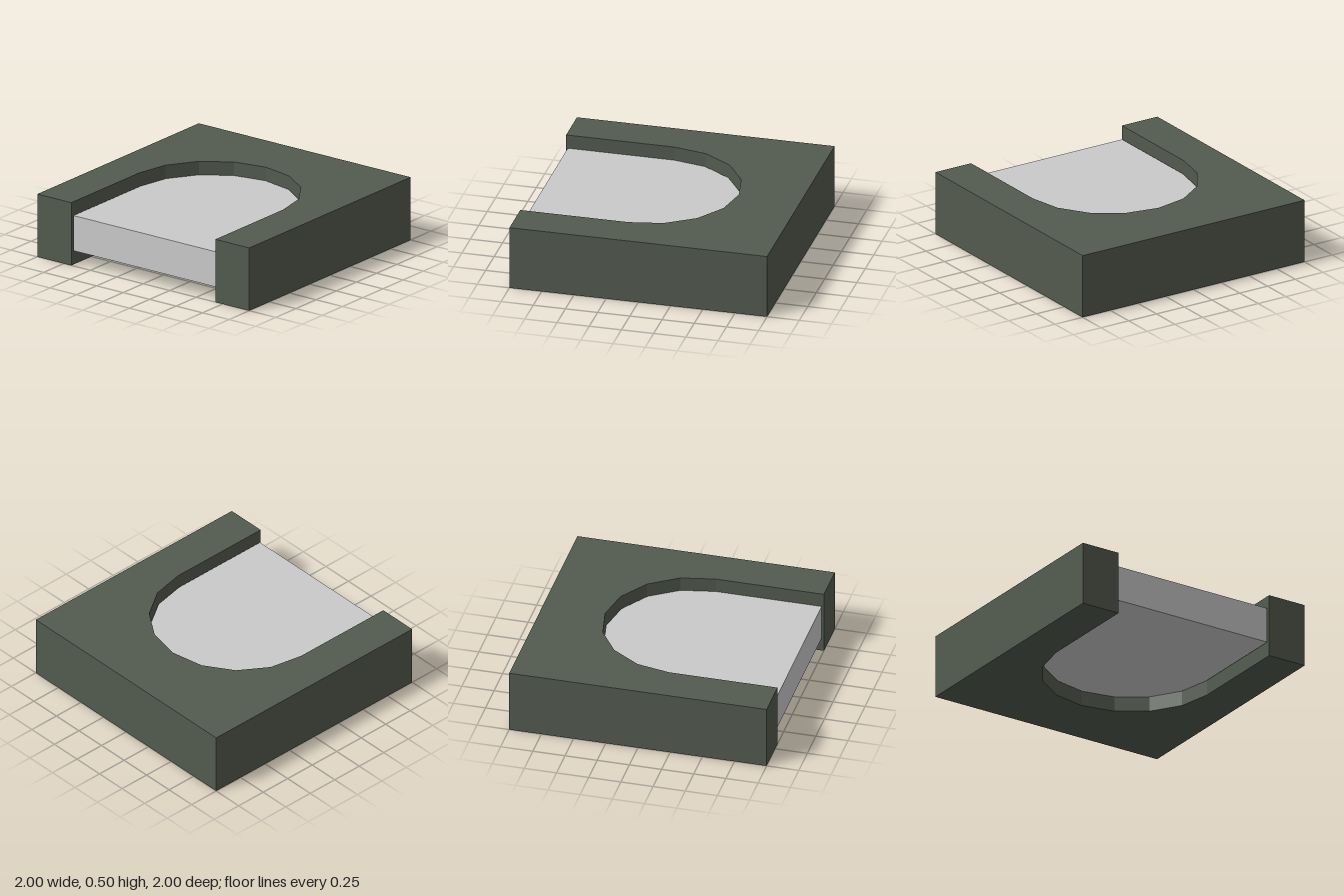
import * as THREE from 'three';

const RADIUS = 0.68, SPRING_Z = 0.16, SEGMENTS = 8;

// Faceted arch outline, from the +x springing round to the -x one (shape y = -z)
function archPoints(radius) {
  const points = [];
  for (let i = 0; i <= SEGMENTS; i++) {
    const a = (i / SEGMENTS) * Math.PI;
    points.push(new THREE.Vector2(radius * Math.cos(a), radius * Math.sin(a) - SPRING_Z));
  }
  return points;
}

// Extrude a plan outline upwards between two heights
function slab(name, points, bottom, top, material) {
  const geometry = new THREE.ExtrudeGeometry(new THREE.Shape(points), {
    depth: top - bottom, bevelEnabled: false,
  });
  geometry.rotateX(-Math.PI / 2);
  geometry.translate(0, bottom, 0);
  const mesh = new THREE.Mesh(geometry, material);
  mesh.name = name;
  return mesh;
}

export function createModel() {
  const green = new THREE.MeshStandardMaterial({ color: 0x525a4e });
  green.name = 'dark green';
  const grey = new THREE.MeshStandardMaterial({ color: 0xcacaca });
  grey.name = 'light grey';
  const v = (x, z) => new THREE.Vector2(x, -z);

  const group = new THREE.Group();
  group.name = 'archPanel';

  // Square surround with an arched opening through the front edge
  const frame = [
    v(RADIUS, 1), v(1, 1), v(1, -1), v(-1, -1), v(-1, 1), v(-RADIUS, 1),
    ...archPoints(RADIUS).reverse(),
  ];
  group.add(slab('frame', frame, 0, 0.5, green));

  // Thinner arched panel, set in the opening with a hairline gap
  const r = RADIUS - 0.008;
  const panel = [v(-r, 0.985), v(r, 0.985), ...archPoints(r)];
  group.add(slab('panel', panel, 0.115, 0.395, grey));

  return group;
}
